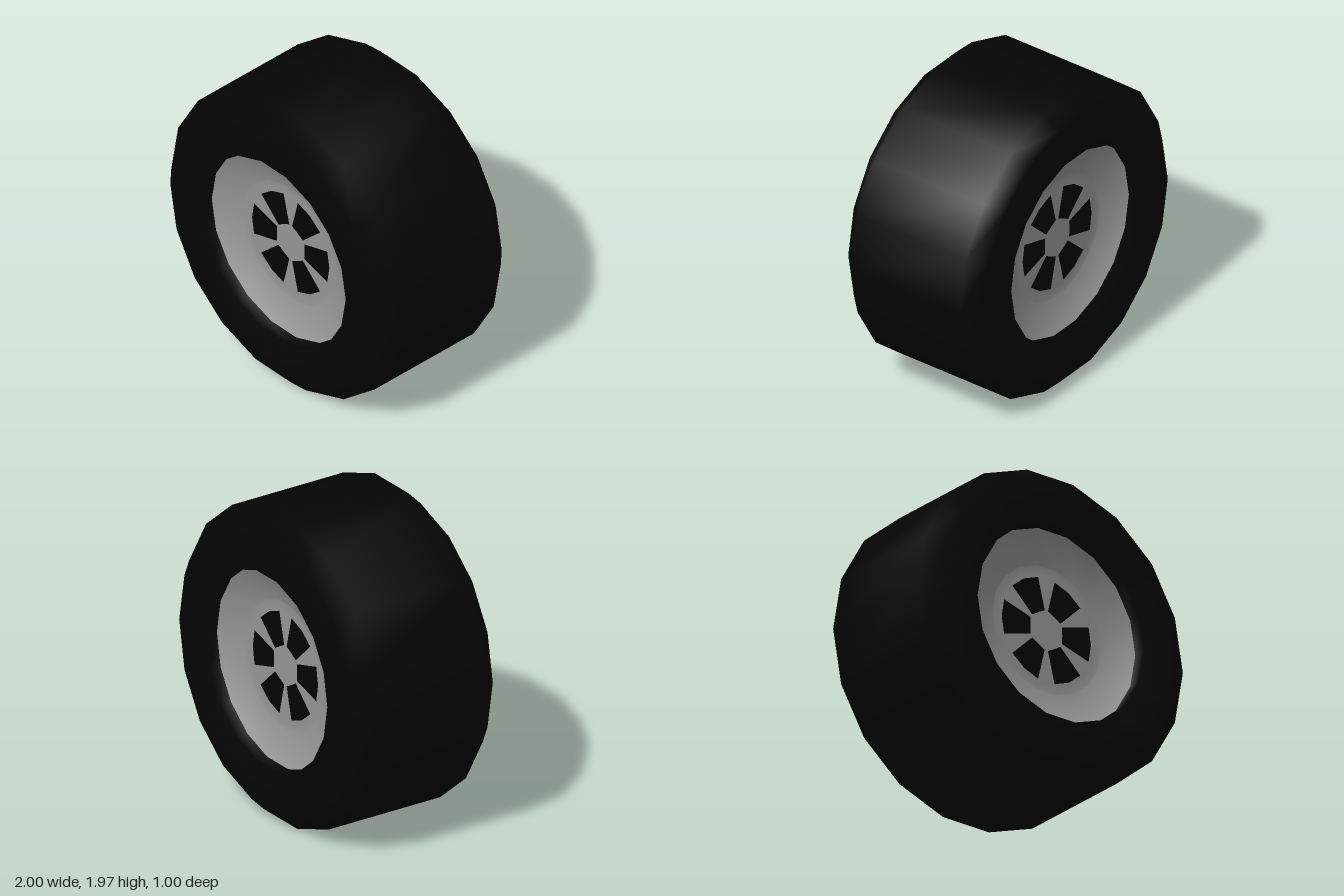
import * as THREE from 'three';

const SIDES = 18;
const HUB_R = 0.36, HUB_Z = 0.364;

// Half profile as [radius, z], from the hub edge out to the tread
const half = [
  [HUB_R, HUB_Z], [0.405, HUB_Z], [0.415, 0.37], [0.626, 0.42],
  [0.626, 0.5], [0.9, 0.5], [1, 0.4],
];
const RIM_STRIPS = 3;

// Keep only chosen profile strips of the lathe, so parts share smooth normals
function lathePart(profile, keep) {
  const g = new THREE.LatheGeometry(profile, SIDES, Math.PI / 2);
  const strips = profile.length - 1;
  const index = Array.from(g.index.array).filter((_, i) => keep(Math.floor(i / 6) % strips));
  g.setIndex(index);
  return g.rotateX(Math.PI / 2);
}

// Flat wheel centre with six tapered openings between the spokes
function spokeShape() {
  const shape = new THREE.Shape();
  for (let i = 0; i < SIDES; i++) {
    const a = (i / SIDES) * Math.PI * 2;
    shape[i ? 'lineTo' : 'moveTo'](HUB_R * Math.cos(a), HUB_R * Math.sin(a));
  }
  shape.closePath();
  const opening = [[0.118, -0.054], [0.12, 0], [0.118, 0.054], [0.318, 0.112], [0.336, 0], [0.318, -0.112]];
  for (let k = 0; k < 6; k++) {
    const turn = (k * Math.PI) / 3;
    shape.holes.push(new THREE.Path(opening.map(([x, y]) =>
      new THREE.Vector2(x, y).rotateAround(new THREE.Vector2(), turn))));
  }
  return shape;
}

export function createModel() {
  const rubber = new THREE.MeshStandardMaterial({ color: 0x040404 });
  rubber.name = 'black rubber';
  const metal = new THREE.MeshStandardMaterial({ color: 0x969696 });
  metal.name = 'grey metal';

  const wheel = new THREE.Group();
  wheel.name = 'wheel';
  const add = (name, geometry, material, parent = wheel) => {
    const mesh = new THREE.Mesh(geometry, material);
    mesh.name = name;
    parent.add(mesh);
    return mesh;
  };

  // Tyre and dished rims from one profile running back to front
  const profile = [
    ...half.map(([r, z]) => new THREE.Vector2(r, -z)),
    ...half.slice().reverse().map(([r, z]) => new THREE.Vector2(r, z)),
  ];
  const last = profile.length - 1 - RIM_STRIPS;
  add('tyre', lathePart(profile, j => j >= RIM_STRIPS && j < last), rubber);
  add('backRim', lathePart(profile, j => j < RIM_STRIPS), metal);
  add('frontRim', lathePart(profile, j => j >= last), metal);

  // Spoked centre with a dark disc right behind it, on both faces
  const spokes = new THREE.ShapeGeometry(spokeShape());
  const backing = new THREE.CircleGeometry(HUB_R - 0.01, SIDES);
  for (const side of ['front', 'back']) {
    const hub = new THREE.Group();
    hub.name = side + 'Hub';
    add(side + 'Spokes', spokes, metal, hub).position.z = HUB_Z;
    add(side + 'Openings', backing, rubber, hub).position.z = HUB_Z - 0.003;
    if (side === 'back') hub.rotation.y = Math.PI;
    wheel.add(hub);
  }

  // Stand on the flat bottom facet
  wheel.position.y = Math.cos(Math.PI / SIDES);
  const model = new THREE.Group();
  model.name = 'wheelModel';
  model.add(wheel);
  return model;
}
